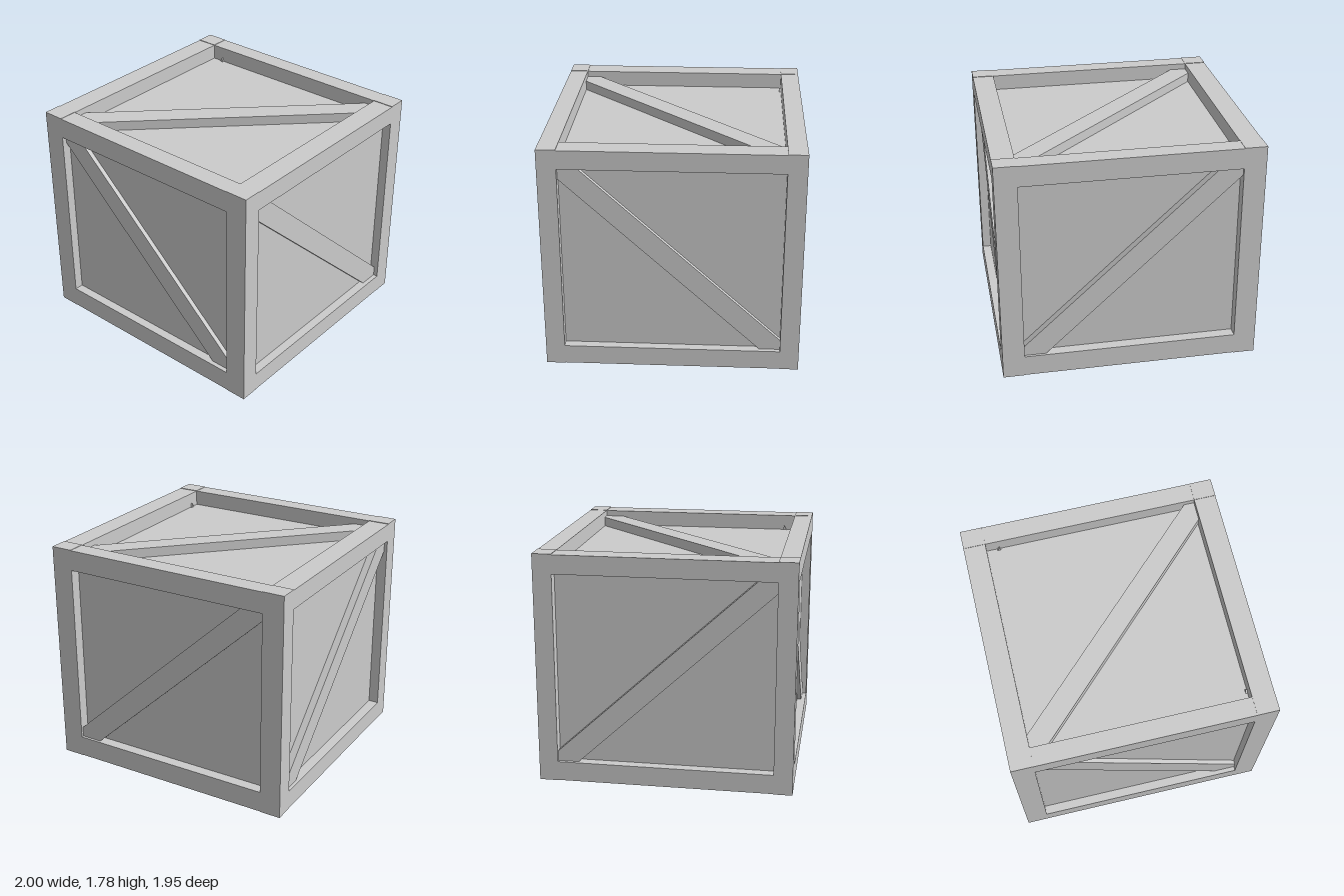
import * as THREE from 'three';

export function createModel() {
  const crate = new THREE.Group();
  crate.name = 'crate';
  const material = new THREE.MeshStandardMaterial({ color: 0xcccccc, flatShading: true });
  const H = 1.785, X = 1, Z = 0.975, IN = 0.83; // outer size and frame opening

  // Box given by its lower and upper corner
  function box(name, lo, hi) {
    const size = hi.map((h, i) => h - lo[i]);
    const mesh = new THREE.Mesh(new THREE.BoxGeometry(...size), material);
    mesh.position.set(...hi.map((h, i) => (h + lo[i]) / 2));
    mesh.name = name;
    crate.add(mesh);
  }

  // Flat brace outline extruded between two depths, then turned onto its face
  function brace(name, points, from, to, turn = {}) {
    const shape = new THREE.Shape(points.map(p => new THREE.Vector2(...p)));
    const geometry = new THREE.ExtrudeGeometry(shape, { depth: to - from, bevelEnabled: false });
    geometry.translate(0, 0, from);
    const mesh = new THREE.Mesh(geometry, material);
    mesh.rotation.set(turn.x || 0, turn.y || 0, 0);
    mesh.name = name;
    crate.add(mesh);
  }

  // Recessed panels
  box('panels', [-0.92, 0.13, -0.89], [0.93, 1.66, 0.905]);

  // Corner posts
  for (const sx of [-1, 1]) for (const sz of [-1, 1]) {
    const xs = [sx * IN, sx * X].sort((a, b) => a - b);
    const zs = [sz * IN, sz * Z].sort((a, b) => a - b);
    box('cornerPost', [xs[0], 0, zs[0]], [xs[1], H, zs[1]]);
  }

  // Top and bottom rails, set a hair below the post ends
  for (const s of [-1, 1]) {
    const zs = [s * IN, s * Z].sort((a, b) => a - b);
    const xs = [s * IN, s * X].sort((a, b) => a - b);
    box('lowerCrossRail', [-IN, 0.003, zs[0]], [IN, 0.17, zs[1]]);
    box('upperCrossRail', [-IN, 1.62, zs[0]], [IN, H - 0.003, zs[1]]);
    box('lowerSideRail', [xs[0], 0.003, -IN], [xs[1], 0.155, IN]);
    box('upperSideRail', [xs[0], 1.635, -IN], [xs[1], H - 0.004, IN]);
  }

  // Diagonal braces; the optional tip pokes up through the top panel
  const wide = tip => [[-0.83, 1.56], [0.66, 0.17], [0.83, 0.17], [0.83, 0.25], [-0.65, 1.62], ...tip, [-0.83, 1.62]];
  const side = tip => [[0.83, 1.545], [0.83, 1.635], ...tip, [0.69, 1.635], [-0.83, 0.235], [-0.83, 0.155], [-0.67, 0.155]];
  const flat = [[0.75, 0.83], [-0.83, -0.72], [-0.83, -0.83], [-0.7, -0.83], [0.83, 0.68], [0.83, 0.83]];

  brace('frontBrace', wide([]), 0.86, 0.94);
  brace('backBrace', wide([[-0.71, 1.62], [-0.73, 1.695], [-0.765, 1.62]]), -0.955, -0.815);
  const quarter = { y: -Math.PI / 2 };
  brace('leftBrace', side([[0.775, 1.635], [0.74, 1.695], [0.72, 1.635]]), -0.965, -0.815, quarter);
  brace('rightBrace', side([]), 0.86, 0.975, quarter);
  const lying = { x: -Math.PI / 2 };
  brace('topBrace', flat, 1.6, 1.735, lying);
  brace('bottomBrace', flat, 0.08, 0.16, lying);

  return crate;
}
